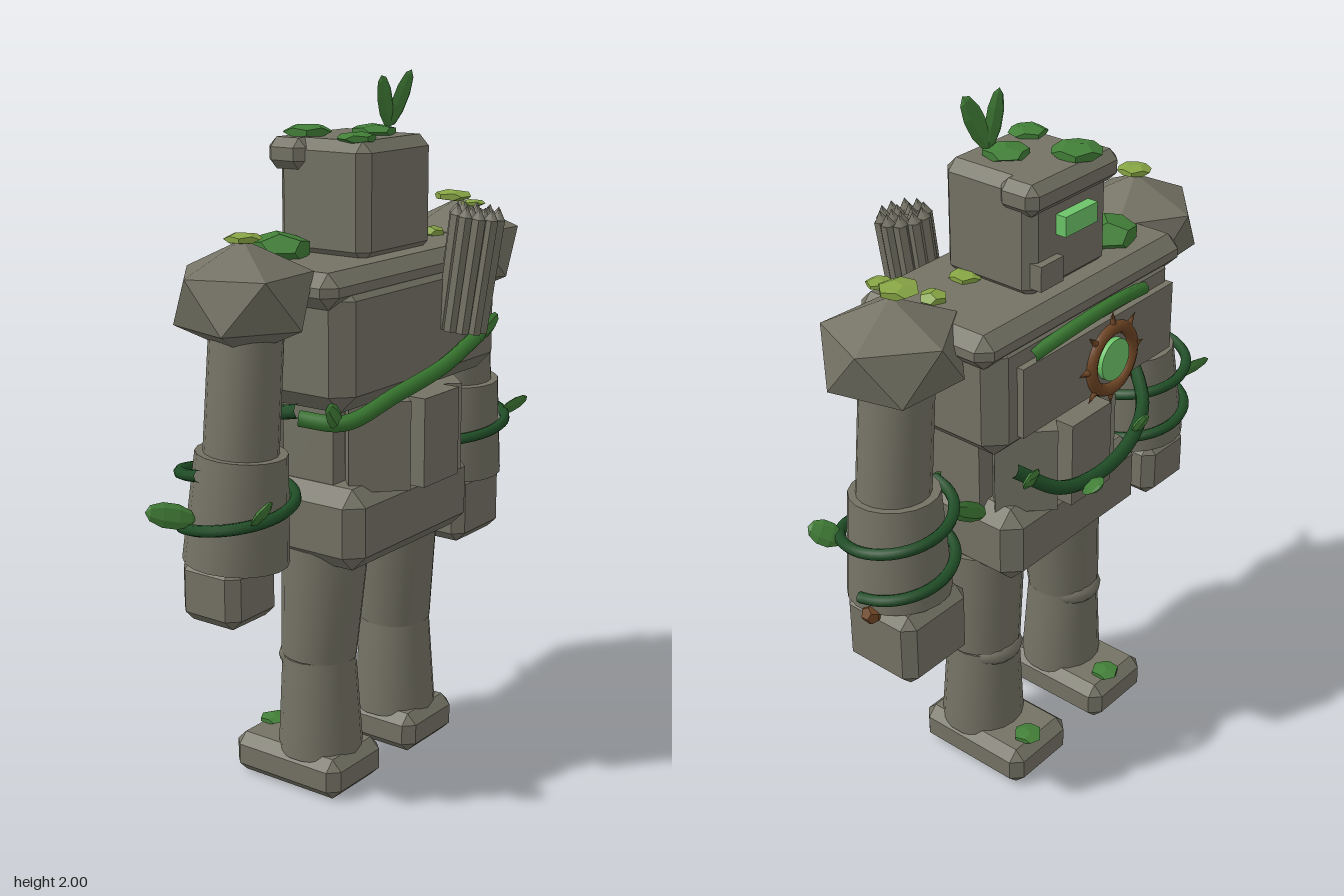
import * as THREE from 'three';
import { toCreasedNormals } from 'three/addons/utils/BufferGeometryUtils.js';
import { ConvexGeometry } from 'three/addons/geometries/ConvexGeometry.js';

const V = (x, y, z) => new THREE.Vector3(x, y, z);
const UP = V(0, 1, 0);
const material = (name, color, flatShading = false) => {
  const m = new THREE.MeshStandardMaterial({ color, flatShading });
  m.name = name;
  return m;
};

export function createModel() {
  const root = new THREE.Group();
  root.name = 'mossyStoneGolem';
  const stone = material('stone', 0x747264);
  const vineDark = material('darkVine', 0x1f4d26);
  const vineGreen = material('greenVine', 0x37752f);
  const moss = material('moss', 0x427f38, true);
  const mossLight = material('lightMoss', 0x86a444, true);
  const glow = material('glow', 0x6cc468);
  const wood = material('wood', 0x6e4524);

  const add = (name, geometry, mat, pos = V(0, 0, 0), parent = root) => {
    const mesh = new THREE.Mesh(geometry, mat);
    mesh.name = name;
    mesh.position.copy(pos);
    parent.add(mesh);
    return mesh;
  };

  // Box with every edge chamfered, given by its minimum and maximum corners
  const block = (name, a, b, c, mat = stone) => {
    const h = b.clone().sub(a).multiplyScalar(0.5);
    const pts = [];
    for (const x of [-1, 1]) for (const y of [-1, 1]) for (const z of [-1, 1]) {
      pts.push(V(x * h.x, y * (h.y - c), z * (h.z - c)));
      pts.push(V(x * (h.x - c), y * h.y, z * (h.z - c)));
      pts.push(V(x * (h.x - c), y * (h.y - c), z * h.z));
    }
    return add(name, new ConvexGeometry(pts), mat, a.clone().add(b).multiplyScalar(0.5));
  };

  // Tapered cylinder from one point to another
  const limb = (name, from, to, r0, r1, sides = 18, mat = stone, parent = root) => {
    const d = to.clone().sub(from);
    const g = toCreasedNormals(new THREE.CylinderGeometry(r1, r0, d.length(), sides), 0.6);
    const mesh = add(name, g, mat, from.clone().add(to).multiplyScalar(0.5), parent);
    mesh.quaternion.setFromUnitVectors(UP, d.normalize());
    return mesh;
  };

  const tube = (name, points, r, mat) =>
    add(name, new THREE.TubeGeometry(new THREE.CatmullRomCurve3(points), 64, r, 7), mat);

  // Thin pointed leaf growing from base to tip
  const leaf = (base, tip, width = 0.035, mat = moss) => {
    const d = tip.clone().sub(base);
    const g = new THREE.SphereGeometry(1, 6, 5).scale(width, d.length() / 2, 0.012);
    const mesh = add('leaf', g, mat, base.clone().add(tip).multiplyScalar(0.5));
    mesh.quaternion.setFromUnitVectors(UP, d.normalize());
    return mesh;
  };

  const clump = (x, y, z, r, mat, tall = 0.3) => {
    const mesh = add('mossClump', new THREE.DodecahedronGeometry(r).scale(1, tall, 1), mat, V(x, y, z));
    mesh.rotation.y = x * 9 + z * 5;
  };

  // Legs and feet
  const cx = 0.035;
  for (const s of [-1, 1]) {
    const x = cx + s * 0.187;
    block('foot', V(x - 0.122, 0, -0.235), V(x + 0.122, 0.12, 0.14), 0.03);
    limb('lowerLeg', V(x, 0.1, 0), V(x, 0.39, -0.005), 0.122, 0.105);
    limb('upperLeg', V(x, 0.39, -0.005), V(x - s * 0.015, 0.72, 0.008), 0.108, 0.124);
    add('knee', new THREE.SphereGeometry(1, 16, 10).scale(0.09, 0.05, 0.08), stone, V(x, 0.38, -0.045));
    clump(x + 0.02, 0.125, -0.19, 0.045, moss);
  }

  // Pelvis and ribbed waist
  block('pelvis', V(-0.265, 0.69, -0.2), V(0.317, 0.92, 0.206), 0.045);
  add('waist', new THREE.CylinderGeometry(0.225, 0.225, 0.25, 24), stone, V(cx + 0.01, 1.025, 0.01));
  for (let i = 0; i < 8; i++) {
    const a = (i * Math.PI) / 4;
    const rib = add('waistRib', new THREE.BoxGeometry(0.17, 0.25, 0.08), stone,
      V(cx + 0.01 + Math.sin(a) * 0.222, 1.025, 0.01 + Math.cos(a) * 0.222));
    rib.rotation.y = a;
  }

  // Chest with collar slab and front plate
  block('chest', V(-0.345, 1.15, -0.233), V(0.418, 1.5, 0.228), 0.05);
  block('collar', V(-0.383, 1.43, -0.235), V(0.458, 1.525, 0.215), 0.035);
  add('chestPlate', new THREE.BoxGeometry(0.64, 0.2, 0.03), stone, V(0.015, 1.31, -0.238));

  // Head, brow, jaw block and glowing eye
  block('head', V(-0.127, 1.51, -0.165), V(0.2, 1.83, 0.135), 0.03);
  block('brow', V(-0.15, 1.745, -0.185), V(0.215, 1.83, -0.06), 0.025);
  add('jawBlock', new THREE.BoxGeometry(0.09, 0.07, 0.08), stone, V(0.14, 1.58, -0.147));
  add('eye', new THREE.BoxGeometry(0.13, 0.055, 0.04), glow, V(0.035, 1.697, -0.177));

  // Arms with vines winding around the gauntlets
  const arm = (x, s, hand) => {
    const pad = new THREE.IcosahedronGeometry(0.2).rotateZ(-Math.atan(2 / (1 + Math.sqrt(5)))).scale(1, 0.75, 1);
    if (s < 0) pad.rotateY(Math.PI);
    add('shoulderPad', toCreasedNormals(pad, 0.1), stone, V(x + s * 0.0, 1.46, 0)).rotation.y = 0.25 * s;
    limb('upperArm', V(x + s * 0.022, 1.04, 0), V(x - s * 0.015, 1.43, 0), 0.1, 0.097);
    limb('gauntlet', V(x + s * 0.03, 0.765, -0.015), V(x + s * 0.018, 1.06, 0), 0.142, 0.122);
    const hx = x + s * 0.032;
    block('hand', V(hx - hand, 0.765 - hand * 1.7, -0.04 - hand), V(hx + hand, 0.775, -0.04 + hand), 0.03);
    const coil = [];
    for (let i = 0; i <= 24; i++) {
      const a = (i / 24) * Math.PI * 3;
      coil.push(V(x + s * 0.024 + Math.cos(a) * 0.15, 0.81 + 0.22 * (i / 24), -0.01 - Math.sin(a) * 0.15));
    }
    tube('armVine', coil, 0.016, vineDark);
  };
  arm(-0.465, -1, 0.098);
  arm(0.535, 1, 0.122);
  add('woodKnot', new THREE.DodecahedronGeometry(0.028), wood, V(0.7, 0.765, -0.04));

  // Vines around the torso
  tube('waistVine', [V(0.31, 1.08, -0.2), V(0.2, 1.0, -0.265), V(0.04, 0.98, -0.285), V(-0.13, 1.01, -0.265),
    V(-0.27, 1.05, -0.19), V(-0.37, 1.13, -0.03), V(-0.37, 1.16, 0.1)], 0.02, vineDark);
  tube('backVine', [V(-0.37, 1.14, 0.1), V(-0.31, 1.13, 0.2), V(-0.15, 1.18, 0.25), V(0.05, 1.22, 0.265),
    V(0.28, 1.27, 0.24)], 0.022, vineGreen);
  tube('chestVine', [V(0.28, 1.42, -0.235), V(0.14, 1.455, -0.262), V(-0.02, 1.465, -0.268),
    V(-0.19, 1.43, -0.235)], 0.019, vineGreen);

  // Thorned medallion on the chest
  const medallion = new THREE.Group();
  medallion.name = 'medallion';
  medallion.position.set(-0.03, 1.29, -0.255);
  root.add(medallion);
  add('ring', new THREE.TorusGeometry(0.09, 0.018, 8, 28), wood, V(0, 0, 0), medallion);
  add('core', new THREE.CylinderGeometry(0.06, 0.06, 0.02, 24).rotateX(Math.PI / 2), glow, V(0, 0, -0.004), medallion);
  for (let i = 0; i < 8; i++) {
    const a = (i * Math.PI) / 4;
    const thorn = add('thorn', new THREE.ConeGeometry(0.012, 0.04, 6), wood,
      V(Math.cos(a) * 0.12, Math.sin(a) * 0.12, 0), medallion);
    thorn.rotation.z = a - Math.PI / 2;
  }

  // Bundle of stone rods carried on the back
  const bundle = new THREE.Group();
  bundle.name = 'rodBundle';
  bundle.position.set(0.172, 1.47, 0.272);
  bundle.rotation.set(0.11, 0, -0.06);
  root.add(bundle);
  limb('bundleCore', V(0, -0.16, 0), V(0, 0.15, 0), 0.06, 0.064, 12, stone, bundle);
  for (let i = 0; i < 10; i++) {
    const a = (i * Math.PI) / 5;
    const x = Math.cos(a) * 0.056, z = Math.sin(a) * 0.056;
    limb('rod', V(x, -0.165, z), V(x * 1.05, 0.15, z * 1.05), 0.02, 0.021, 6, stone, bundle);
    add('rodTip', new THREE.ConeGeometry(0.021, 0.03, 5), stone, V(x * 1.05, 0.165, z * 1.05), bundle);
    if (i % 2) add('rodTip', new THREE.ConeGeometry(0.02, 0.03, 5), stone, V(x * 0.5, 0.163, z * 0.5), bundle);
  }

  // Moss on head, collar and shoulders
  clump(-0.04, 1.84, -0.12, 0.07, moss);
  clump(-0.075, 1.835, 0.07, 0.055, moss);
  clump(0.08, 1.84, 0.015, 0.065, moss);
  clump(-0.21, 1.545, -0.09, 0.092, moss, 0.5);
  clump(0.21, 1.53, 0.045, 0.045, mossLight);
  clump(0.355, 1.53, 0.025, 0.04, mossLight, 0.5);
  clump(0.505, 1.62, 0, 0.058, mossLight);
  clump(0.49, 1.605, 0.08, 0.037, mossLight);
  clump(-0.48, 1.615, 0.015, 0.05, mossLight);

  // Sprout on the head and leaves along the vines
  leaf(V(0.11, 1.85, 0.045), V(0.05, 1.99, 0.06));
  leaf(V(0.11, 1.85, 0.045), V(0.18, 2.0, 0.07));
  leaf(V(-0.61, 0.9, -0.05), V(-0.735, 0.94, -0.11));
  leaf(V(-0.55, 0.9, 0.1), V(-0.6, 0.98, 0.18));
  leaf(V(0.67, 0.93, 0.08), V(0.735, 0.98, 0.14));
  leaf(V(0.45, 0.99, -0.1), V(0.31, 0.9, -0.1), 0.03);
  leaf(V(0.44, 0.92, 0.08), V(0.32, 0.98, 0.05), 0.03);
  leaf(V(0.1, 0.97, -0.28), V(0.15, 1.01, -0.36));
  leaf(V(-0.13, 1.01, -0.26), V(-0.16, 1.07, -0.29), 0.025);
  leaf(V(0.25, 1.05, -0.23), V(0.35, 1.09, -0.27), 0.03);
  leaf(V(0.28, 1.26, 0.24), V(0.38, 1.31, 0.24), 0.028);
  leaf(V(-0.31, 1.12, 0.19), V(-0.38, 1.19, 0.2), 0.028);
  return root;
}
